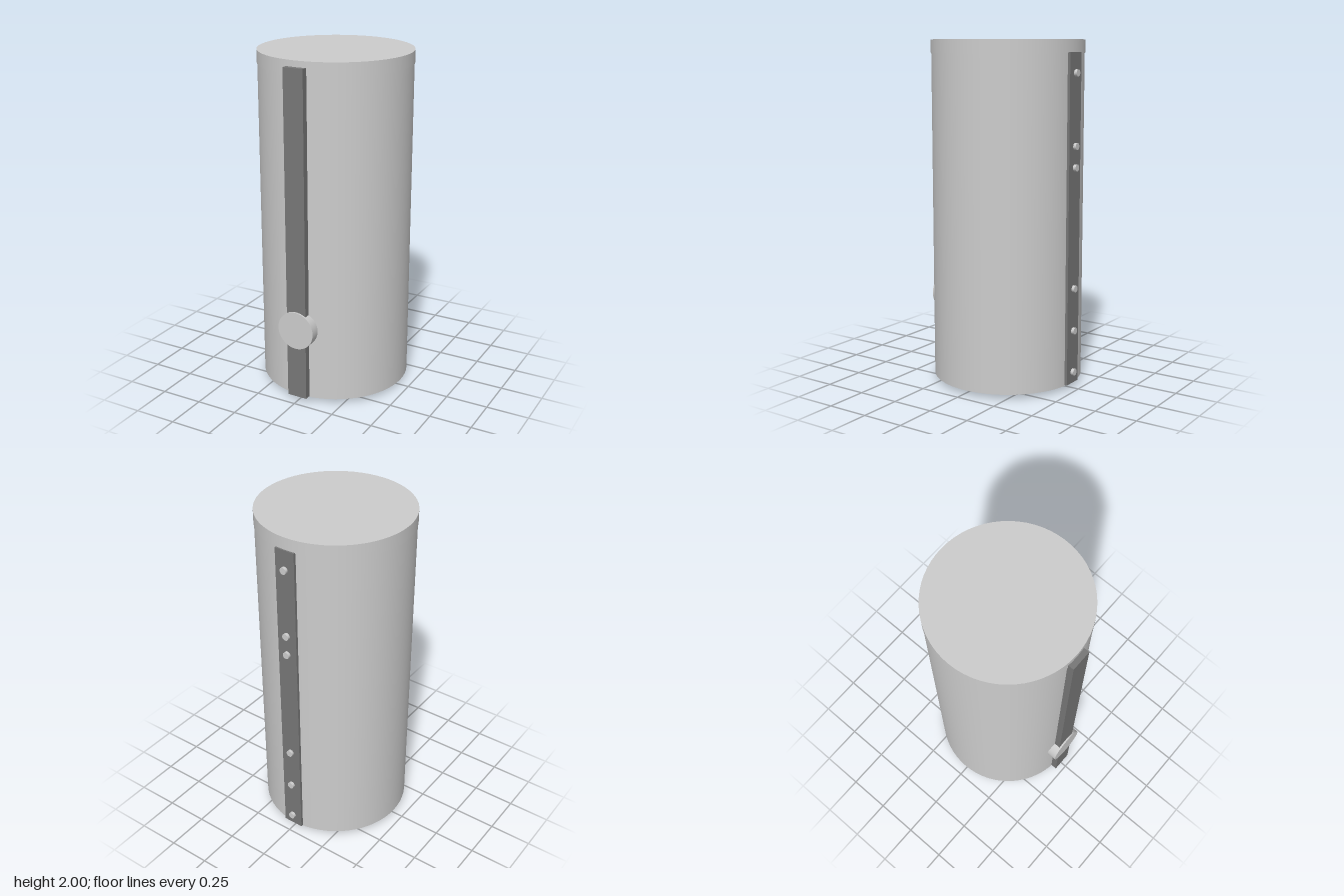
import * as THREE from 'three';

export function createModel() {
  const model = new THREE.Group();
  model.name = 'storageTank';
  const lightGrey = new THREE.MeshStandardMaterial({ name: 'light grey', color: 0xcccccc });
  const darkGrey = new THREE.MeshStandardMaterial({ name: 'dark grey', color: 0x777777 });
  const axisZ = -0.008;

  function add(parent, name, geometry, material, x, y, z) {
    const mesh = new THREE.Mesh(geometry, material);
    mesh.name = name;
    mesh.position.set(x, y, z);
    parent.add(mesh);
    return mesh;
  }

  // Tank body with a slightly wider lid
  add(model, 'tankBody', new THREE.CylinderGeometry(0.44, 0.44, 1.9, 64), lightGrey, 0, 0.975, axisZ);
  add(model, 'lid', new THREE.CylinderGeometry(0.443, 0.443, 0.075, 64), lightGrey, 0, 1.9625, axisZ);

  // Cover strips down the front and back
  add(model, 'frontStrip', new THREE.BoxGeometry(0.122, 1.935, 0.045), darkGrey, 0, 0.9975, 0.4425);
  add(model, 'backStrip', new THREE.BoxGeometry(0.122, 1.9, 0.03), darkGrey, 0, 0.98, -0.444);

  // Round access cover, facing forward
  const cover = new THREE.CylinderGeometry(0.113, 0.113, 0.075, 48).rotateX(Math.PI / 2);
  add(model, 'accessCover', cover, lightGrey, 0, 0.458, 0.4375);

  // Pipe connections on the back strip
  const connections = new THREE.Group();
  connections.name = 'pipeConnections';
  const stub = new THREE.CylinderGeometry(0.02, 0.02, 0.025, 24).rotateX(Math.PI / 2);
  for (const y of [1.817, 1.41, 1.29, 0.593, 0.344, 0.097]) {
    add(connections, 'pipeConnection', stub, lightGrey, 0, y, -0.4635);
  }
  model.add(connections);

  // Three levelling feet, each a pad on a short stem
  const pad = new THREE.CylinderGeometry(0.033, 0.033, 0.012, 24);
  const stem = new THREE.CylinderGeometry(0.01, 0.01, 0.025, 16);
  for (let i = 0; i < 3; i++) {
    const angle = Math.PI + (i * Math.PI * 2) / 3;
    const foot = new THREE.Group();
    foot.name = 'foot';
    foot.position.set(0.294 * Math.cos(angle), 0, axisZ + 0.294 * Math.sin(angle));
    add(foot, 'footPad', pad, lightGrey, 0, 0.006, 0);
    add(foot, 'footStem', stem, lightGrey, 0, 0.02, 0);
    model.add(foot);
  }
  return model;
}
